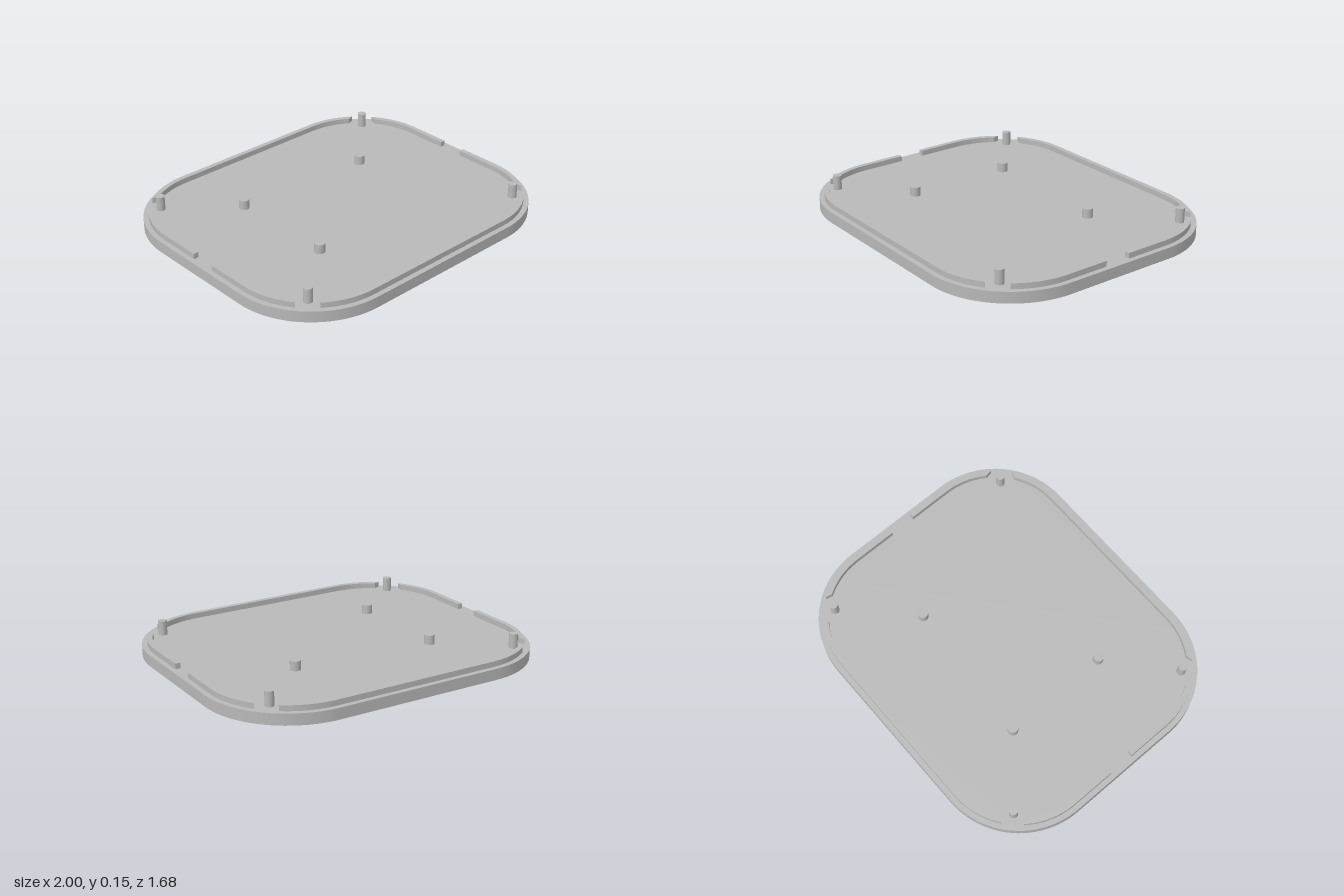
import * as THREE from 'three';
import { toCreasedNormals } from 'three/addons/utils/BufferGeometryUtils.js';

const PLATE_TOP = 0.065, LIP_TOP = 0.097;
const CX = 0.5, CZ = 0.34; // corner arc centres
const R_PLATE = 0.5, R_OUT = 0.47, R_IN = 0.44;

// Points along a corner arc, angles in degrees, mirrored by sx and sy
function arc(radius, from, to, sx = 1, sy = 1, steps = 16) {
  return Array.from({ length: steps + 1 }, (_, i) => {
    const a = THREE.MathUtils.degToRad(from + (to - from) * i / steps);
    return new THREE.Vector2(sx * (CX + radius * Math.cos(a)), sy * (CZ + radius * Math.sin(a)));
  });
}

// Flat outline raised from y = bottom to y = top
function slab(points, bottom, top) {
  const geo = new THREE.ExtrudeGeometry(new THREE.Shape(points), { depth: top - bottom, bevelEnabled: false });
  geo.rotateX(-Math.PI / 2);
  geo.translate(0, bottom, 0);
  return toCreasedNormals(geo, 0.5);
}

export function createModel() {
  const group = new THREE.Group();
  const grey = new THREE.MeshStandardMaterial({ color: 0xb8b8b8 });
  grey.name = 'grey plastic';
  const add = (name, geo) => {
    const mesh = new THREE.Mesh(geo, grey);
    mesh.name = name;
    group.add(mesh);
    return mesh;
  };

  // Rounded base plate
  add('basePlate', slab([
    ...arc(R_PLATE, 0, 90, 1, 1, 24),
    ...arc(R_PLATE, 90, 0, -1, 1, 24),
    ...arc(R_PLATE, 0, 90, -1, -1, 24),
    ...arc(R_PLATE, 90, 0, 1, -1, 24),
  ], 0, PLATE_TOP));

  for (const sy of [1, -1]) {
    // Long lip across the front or back, wrapping into both corners
    add(sy > 0 ? 'backLip' : 'frontLip', slab([
      ...arc(R_OUT, 53, 90, 1, sy), ...arc(R_OUT, 90, 53, -1, sy),
      ...arc(R_IN, 56, 90, -1, sy), ...arc(R_IN, 90, 56, 1, sy),
    ], PLATE_TOP, LIP_TOP));

    for (const sx of [1, -1]) {
      // Side lip, stopping short of the middle gap
      add('sideLip', slab([
        new THREE.Vector2(sx * (CX + R_OUT), sy * 0.077),
        ...arc(R_OUT, 0, 37.5, sx, sy),
        ...arc(R_IN, 34, 0, sx, sy),
        new THREE.Vector2(sx * (CX + R_IN), sy * 0.077),
      ], PLATE_TOP, LIP_TOP));
    }
  }

  // Upright pins
  const pin = (name, x, z, radius, top) => {
    const h = top - PLATE_TOP;
    add(name, new THREE.CylinderGeometry(radius, radius, h, 32)).position.set(x, PLATE_TOP + h / 2, z);
  };
  for (const x of [-0.787, 0.787]) for (const z of [-0.628, 0.628]) pin('cornerPin', x, z, 0.025, 0.15);
  for (const [x, z] of [[-0.428, -0.322], [0.424, -0.268], [-0.428, 0.318]]) pin('supportPin', x, z, 0.03, 0.12);

  return group;
}
